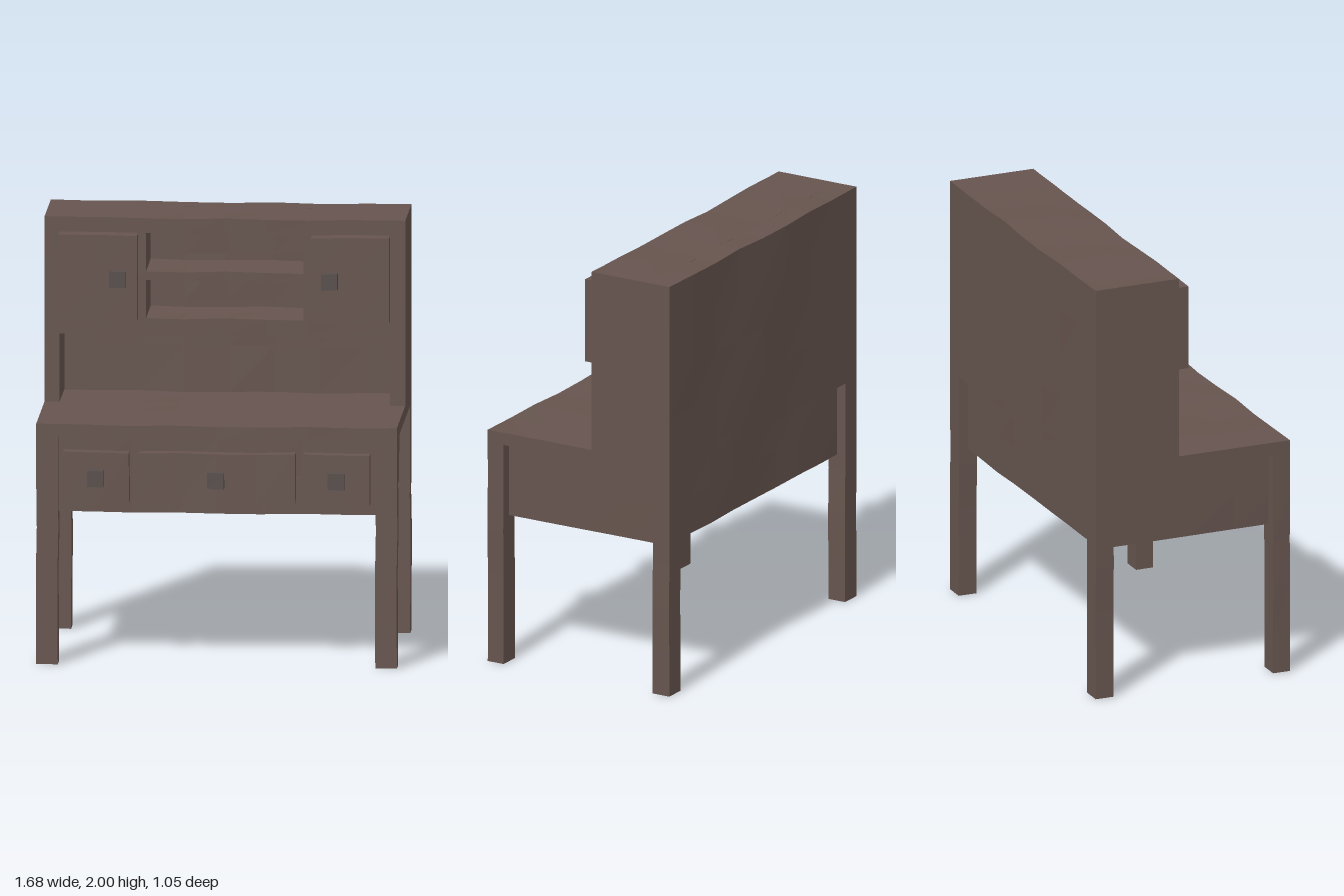
import * as THREE from 'three';

const wood = new THREE.MeshStandardMaterial({ color: 0x66544e, flatShading: true });
const knobWood = new THREE.MeshStandardMaterial({ color: 0x584e4b, flatShading: true });

// Slight hand-hewn waviness, shared by all parts so that joints stay closed
function wobble(geometry) {
  const p = geometry.attributes.position;
  for (let i = 0; i < p.count; i++) {
    const x = p.getX(i), y = p.getY(i), z = p.getZ(i);
    const edge = 1 - Math.min(1, (x / 0.835) ** 2);
    const lift = Math.min(1, y);
    p.setY(i, y - 0.008 * edge * lift * Math.sin(5.5 * x + 2 * z) ** 2);
    p.setZ(i, z + 0.004 * edge * Math.sin(7 * x + 3 * y));
    p.setX(i, x + 0.003 * Math.sin(9 * y + 4 * z) * lift * (1 - lift) * 4);
  }
  geometry.computeVertexNormals();
  return geometry;
}

// Box given by its limits on each axis
function slab(parent, name, [x0, x1], [y0, y1], [z0, z1], material = wood) {
  const w = x1 - x0, h = y1 - y0, d = z1 - z0;
  const parts = (s) => Math.max(1, Math.round(s / 0.2));
  const geometry = new THREE.BoxGeometry(w, h, d, parts(w), parts(h), parts(d));
  geometry.translate((x0 + x1) / 2, (y0 + y1) / 2, (z0 + z1) / 2);
  const mesh = new THREE.Mesh(wobble(geometry), material);
  mesh.name = name;
  parent.add(mesh);
}

function knob(parent, name, x, y, z) {
  slab(parent, name, [x - 0.038, x + 0.038], [y - 0.038, y + 0.038], [z - 0.005, z + 0.038], knobWood);
}

// Mirrored x range for the left (1) or right (-1) side
const side = (s, a, b) => (s > 0 ? [a, b] : [-b, -a]);

export function createModel() {
  const model = new THREE.Group();
  model.name = 'writingDesk';

  // Desk: top, recessed drawer case and four legs
  const desk = new THREE.Group();
  desk.name = 'desk';
  model.add(desk);
  slab(desk, 'deskTop', [-0.835, 0.835], [1.07, 1.13], [-0.52, 0.46]);
  slab(desk, 'drawerCase', [-0.785, 0.785], [0.715, 1.07], [-0.475, 0.425]);
  for (const s of [1, -1]) {
    const label = s > 0 ? 'left' : 'right';
    slab(desk, label + 'FrontLeg', side(s, 0.735, 0.835), [0, 1.07], [0.375, 0.46]);
    slab(desk, label + 'BackLeg', side(s, 0.735, 0.835), [0, 1.07], [-0.52, -0.43]);
  }

  // Three drawers with knobs
  const drawers = [['right', -0.71, -0.405], ['middle', -0.365, 0.365], ['left', 0.405, 0.71]];
  for (const [label, x0, x1] of drawers) {
    slab(desk, label + 'Drawer', [x0, x1], [0.77, 1.005], [0.42, 0.485]);
    knob(desk, label + 'DrawerKnob', (x0 + x1) / 2, 0.887, 0.485);
  }

  // Hutch carcass with open compartments
  const hutch = new THREE.Group();
  hutch.name = 'hutch';
  model.add(hutch);
  const depth = [-0.41, -0.1];
  slab(hutch, 'hutchBack', [-0.835, 0.835], [1.13, 2], [-0.52, -0.41]);
  slab(hutch, 'hutchTop', [-0.765, 0.765], [1.93, 2], depth);
  slab(hutch, 'hutchFloor', [-0.765, 0.765], [1.45, 1.53], depth);
  slab(hutch, 'middleShelf', [-0.365, 0.365], [1.71, 1.75], depth);

  // Hutch sides, cupboards and their doors
  for (const s of [1, -1]) {
    const label = s > 0 ? 'left' : 'right';
    slab(hutch, label + 'Side', side(s, 0.765, 0.835), [1.13, 2], depth);
    slab(hutch, label + 'Cupboard', side(s, 0.365, 0.765), [1.53, 1.93], depth);
    slab(hutch, label + 'Door', side(s, 0.402, 0.765), [1.53, 1.93], [-0.105, -0.022]);
    knob(hutch, label + 'DoorKnob', s * 0.49, 1.728, -0.022);
  }
  return model;
}
